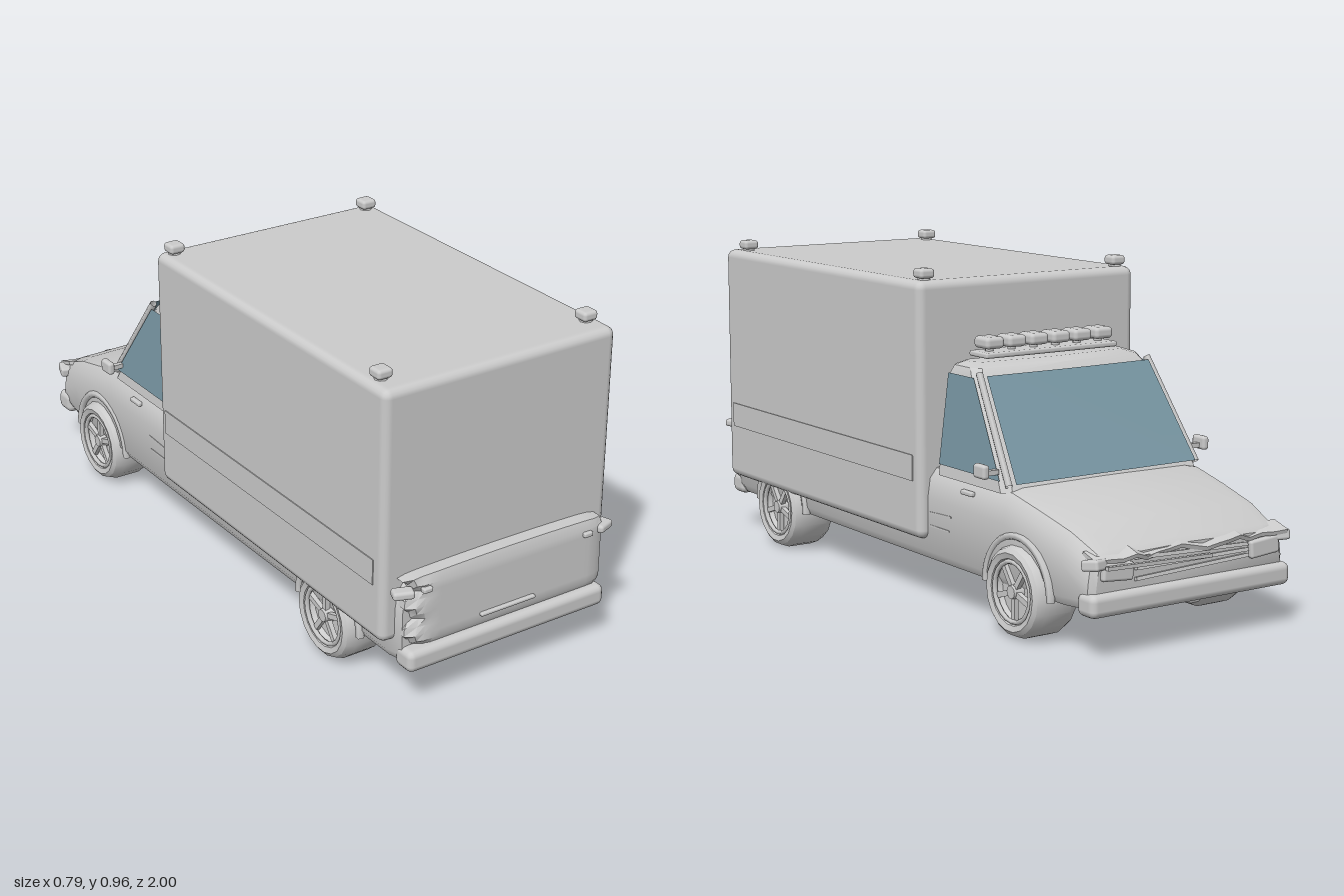
import * as THREE from 'three';
import { toCreasedNormals } from 'three/addons/utils/BufferGeometryUtils.js';
import { RoundedBoxGeometry } from 'three/addons/geometries/RoundedBoxGeometry.js';

const grey = new THREE.MeshStandardMaterial({ color: 0xcccccc, side: THREE.DoubleSide });
const glass = new THREE.MeshStandardMaterial({ color: 0x7896a3, side: THREE.DoubleSide });

// Skin a list of equal-length loops and close both ends
function loft(rings, crease = 0.6) {
  const n = rings[0].length, pos = rings.flat(2), idx = [];
  for (let i = 0; i < rings.length - 1; i++) {
    for (let j = 0; j < n; j++) {
      const a = i * n + j, b = i * n + (j + 1) % n;
      idx.push(a, b, b + n, a, b + n, a + n);
    }
  }
  const last = (rings.length - 1) * n;
  for (let j = 1; j < n - 1; j++) idx.push(0, j + 1, j, last, last + j, last + j + 1);
  const g = new THREE.BufferGeometry();
  g.setAttribute('position', new THREE.Float32BufferAttribute(pos, 3));
  g.setIndex(idx);
  return toCreasedNormals(g, crease);
}

function polygon(points) {
  const idx = [];
  for (let i = 1; i < points.length - 1; i++) idx.push(0, i, i + 1);
  const g = new THREE.BufferGeometry();
  g.setAttribute('position', new THREE.Float32BufferAttribute(points.flat(), 3));
  g.setIndex(idx);
  g.computeVertexNormals();
  return g;
}

function add(parent, name, geometry, position = [0, 0, 0], rotation = [0, 0, 0], material = grey) {
  const m = new THREE.Mesh(geometry, material);
  m.name = name;
  m.position.set(...position);
  m.rotation.set(...rotation);
  parent.add(m);
  return m;
}

const rbox = (w, h, d, r) => new RoundedBoxGeometry(w, h, d, 2, r);

// Body cross-section: rounded sills, shoulders and a slight crown
function bodySection([z, w, yb, yt]) {
  const half = [[w - 0.015, yb], [w, yb + 0.025], [w, yt - 0.09], [w - 0.008, yt - 0.035], [w - 0.03, yt - 0.008], [w - 0.07, yt]];
  const right = half.map(([x, y]) => [x, y, z]);
  const left = half.map(([x, y]) => [-x, y, z]).reverse();
  return [...right, [0, yt + 0.006, z], ...left];
}

// Horizontal cabin section with chamfered corners
function cabinSection([y, w, zf, zb]) {
  const c = 0.02;
  return [[w, y, zb - c], [w, y, zf + c * 2], [w - c, y, zf + c * 0.5], [0, y, zf - 0.005], [-w + c, y, zf + c * 0.5],
    [-w, y, zf + c * 2], [-w, y, zb - c], [-w + c, y, zb], [w - c, y, zb]];
}

function makeWheel() {
  const wheel = new THREE.Group();
  const profile = [[0, -0.07], [0.1, -0.075], [0.118, -0.065], [0.13, -0.04], [0.13, 0.04], [0.12, 0.066], [0.108, 0.075],
    [0.092, 0.07], [0.088, 0.062], [0.08, 0.04], [0, 0.04]].map(p => new THREE.Vector2(...p));
  add(wheel, 'tyre', toCreasedNormals(new THREE.LatheGeometry(profile, 18), 0.5));
  add(wheel, 'rimRing', new THREE.TorusGeometry(0.083, 0.007, 6, 20), [0, 0.064, 0], [Math.PI / 2, 0, 0]);
  add(wheel, 'hub', new THREE.CylinderGeometry(0.018, 0.024, 0.03, 12), [0, 0.055, 0]);
  for (let i = 0; i < 5; i++) {
    const a = i * Math.PI * 2 / 5;
    add(wheel, 'spoke', new THREE.BoxGeometry(0.07, 0.014, 0.016), [Math.cos(a) * 0.048, 0.056, Math.sin(a) * 0.048], [0, -a, 0]);
  }
  return wheel;
}

export function createModel() {
  const truck = new THREE.Group();
  truck.name = 'boxTruck';

  // Lower body from nose to tail
  const stations = [
    [-0.965, 0.315, 0.16, 0.275], [-0.95, 0.33, 0.135, 0.29], [-0.85, 0.341, 0.13, 0.333], [-0.72, 0.348, 0.13, 0.366],
    [-0.6, 0.352, 0.13, 0.393], [-0.235, 0.352, 0.13, 0.402], [0.2, 0.35, 0.13, 0.385], [0.9, 0.345, 0.13, 0.38], [0.955, 0.33, 0.13, 0.37]];
  add(truck, 'body', loft(stations.map(bodySection)));

  // Cargo box
  add(truck, 'cargoBox', rbox(0.76, 0.737, 1.155, 0.025), [0, 0.557, 0.3525]);
  for (const s of [-1, 1]) {
    add(truck, 'sidePanel', new THREE.BoxGeometry(0.008, 0.075, 1.08), [s * 0.379, 0.393, 0.35]);
    for (const z of [-0.185, 0.85]) {
      add(truck, 'markerBase', new THREE.CylinderGeometry(0.016, 0.02, 0.014, 8), [s * 0.337, 0.929, z]);
      add(truck, 'markerLamp', rbox(0.048, 0.028, 0.048, 0.01), [s * 0.337, 0.944, z]);
    }
  }

  // Cabin with glazing
  add(truck, 'cabin', loft([[0.38, 0.338, -0.607, -0.24], [0.41, 0.334, -0.59, -0.24], [0.67, 0.3, -0.41, -0.243],
    [0.692, 0.29, -0.388, -0.25], [0.703, 0.262, -0.35, -0.265]].map(cabinSection), 0.5));
  add(truck, 'windscreen', polygon([[-0.312, 0.405, -0.598], [0.312, 0.405, -0.598], [0.283, 0.675, -0.414],
    [0, 0.675, -0.42], [-0.283, 0.675, -0.414]]), [0, 0.002, -0.006], [0, 0, 0], glass);
  for (const s of [-1, 1]) {
    add(truck, 'sideWindow', polygon([[s * 0.338, 0.412, -0.262], [s * 0.338, 0.412, -0.562], [s * 0.306, 0.67, -0.39],
      [s * 0.306, 0.67, -0.262]]), [0, 0, 0], [0, 0, 0], glass);
    add(truck, 'frontPillar', new THREE.TubeGeometry(new THREE.LineCurve3(
      new THREE.Vector3(s * 0.325, 0.4, -0.588), new THREE.Vector3(s * 0.293, 0.683, -0.398)), 1, 0.011, 6));

    // Door details and mirror
    add(truck, 'doorHandle', rbox(0.016, 0.014, 0.055, 0.005), [s * 0.35, 0.358, -0.425]);
    add(truck, 'doorScuff', new THREE.BoxGeometry(0.006, 0.005, 0.11), [s * 0.351, 0.272, -0.29], [0.05, 0, 0]);
    add(truck, 'doorScuff', new THREE.BoxGeometry(0.006, 0.005, 0.1), [s * 0.351, 0.232, -0.285]);
    add(truck, 'mirrorArm', new THREE.BoxGeometry(0.05, 0.014, 0.016), [s * 0.355, 0.435, -0.54]);
    add(truck, 'mirror', rbox(0.022, 0.04, 0.055, 0.009), [s * 0.383, 0.442, -0.54]);

    // Wheels and front arch lips
    for (const z of [-0.66, 0.635]) {
      const wheel = makeWheel();
      wheel.name = z < 0 ? 'frontWheel' : 'rearWheel';
      wheel.position.set(s * 0.3, 0.13, z);
      wheel.rotation.z = -s * Math.PI / 2;
      truck.add(wheel);
      add(truck, 'archLip', new THREE.TorusGeometry(0.15, 0.012, 6, 18, Math.PI), [s * 0.346, 0.13, z], [0, Math.PI / 2, 0]);
    }

    // Headlamps and nose corner lamps
    add(truck, 'headlamp', rbox(0.1, 0.05, 0.03, 0.008), [s * 0.25, 0.235, -0.965], [0, 0, s * 0.08]);
    add(truck, 'cornerLamp', rbox(0.05, 0.03, 0.055, 0.008), [s * 0.315, 0.258, -0.957], [0.15, s * 0.3, 0]);

    // Tail lamps
    add(truck, 'tailLamp', rbox(0.06, 0.024, 0.04, 0.009), [s * 0.338, 0.352, 0.965], [0, s * 0.35, 0]);
    add(truck, 'reverseLamp', rbox(0.03, 0.015, 0.02, 0.005), [s * 0.272, 0.352, 0.982]);
  }

  // Roof lamp bar
  add(truck, 'lampBar', rbox(0.46, 0.016, 0.09, 0.006), [0, 0.718, -0.297]);
  for (let i = 0; i < 6; i++) {
    const x = (i - 2.5) * 0.0765;
    add(truck, 'lampStem', new THREE.CylinderGeometry(0.012, 0.012, 0.03, 8), [x, 0.73, -0.297]);
    add(truck, 'roofLamp', rbox(0.062, 0.034, 0.072, 0.012), [x, 0.751, -0.297]);
  }

  // Crumpled nose: bent slats and a buckled bonnet edge
  for (let i = 0; i < 3; i++) {
    add(truck, 'grilleSlat', new THREE.BoxGeometry(0.38, 0.01, 0.025), [0, 0.212 + i * 0.022, -0.966], [0.2, 0.02 * (i - 1), 0.035 * (i - 1)]);
  }
  const edge = new THREE.BoxGeometry(0.64, 0.012, 0.06, 16, 1, 2);
  const e = edge.attributes.position;
  for (let i = 0; i < e.count; i++) {
    const x = e.getX(i);
    e.setY(i, e.getY(i) + 0.006 * Math.sin(x * 37) + 0.004 * Math.sin(x * 71));
    e.setZ(i, e.getZ(i) + 0.008 * Math.sin(x * 23));
  }
  add(truck, 'bonnetEdge', toCreasedNormals(edge, 0.4), [0, 0.276, -0.951], [-0.3, 0, 0]);
  add(truck, 'bentTrim', new THREE.BoxGeometry(0.36, 0.01, 0.012), [0.12, 0.245, -0.984], [0, 0.04, 0.04]);

  // Tailgate, dented along its right-hand edge
  const gate = new RoundedBoxGeometry(0.67, 0.21, 0.06, 5, 0.02);
  const plate = new THREE.BoxGeometry(0.67, 0.21, 0.06, 24, 10, 2);
  gate.dispose();
  const p = plate.attributes.position;
  for (let i = 0; i < p.count; i++) {
    const x = p.getX(i), y = p.getY(i), z = p.getZ(i);
    const rim = Math.max(Math.abs(x) - 0.3, 0) / 0.035;
    const dent = THREE.MathUtils.smoothstep(-x, 0.24, 0.335) * (0.5 + 0.5 * Math.sin(y * 75 + x * 30));
    p.setX(i, x + dent * 0.03);
    p.setY(i, y + (y > 0.1 ? 0.006 * (1 - (x / 0.335) ** 2) - 0.006 * rim : 0));
    if (z > 0) p.setZ(i, z - 0.014 * rim * rim - dent * 0.02 - (Math.abs(y) > 0.1 ? 0.01 : 0));
  }
  add(truck, 'tailgate', toCreasedNormals(plate, 0.5), [0, 0.28, 0.951]);
  add(truck, 'tailgateHandle', rbox(0.185, 0.011, 0.016, 0.005), [0, 0.217, 0.984]);

  // Bumpers
  add(truck, 'rearBumper', rbox(0.67, 0.064, 0.075, 0.02), [0, 0.148, 0.962]);
  add(truck, 'frontBumper', rbox(0.68, 0.064, 0.075, 0.02), [0, 0.15, -0.947]);

  return truck;
}
